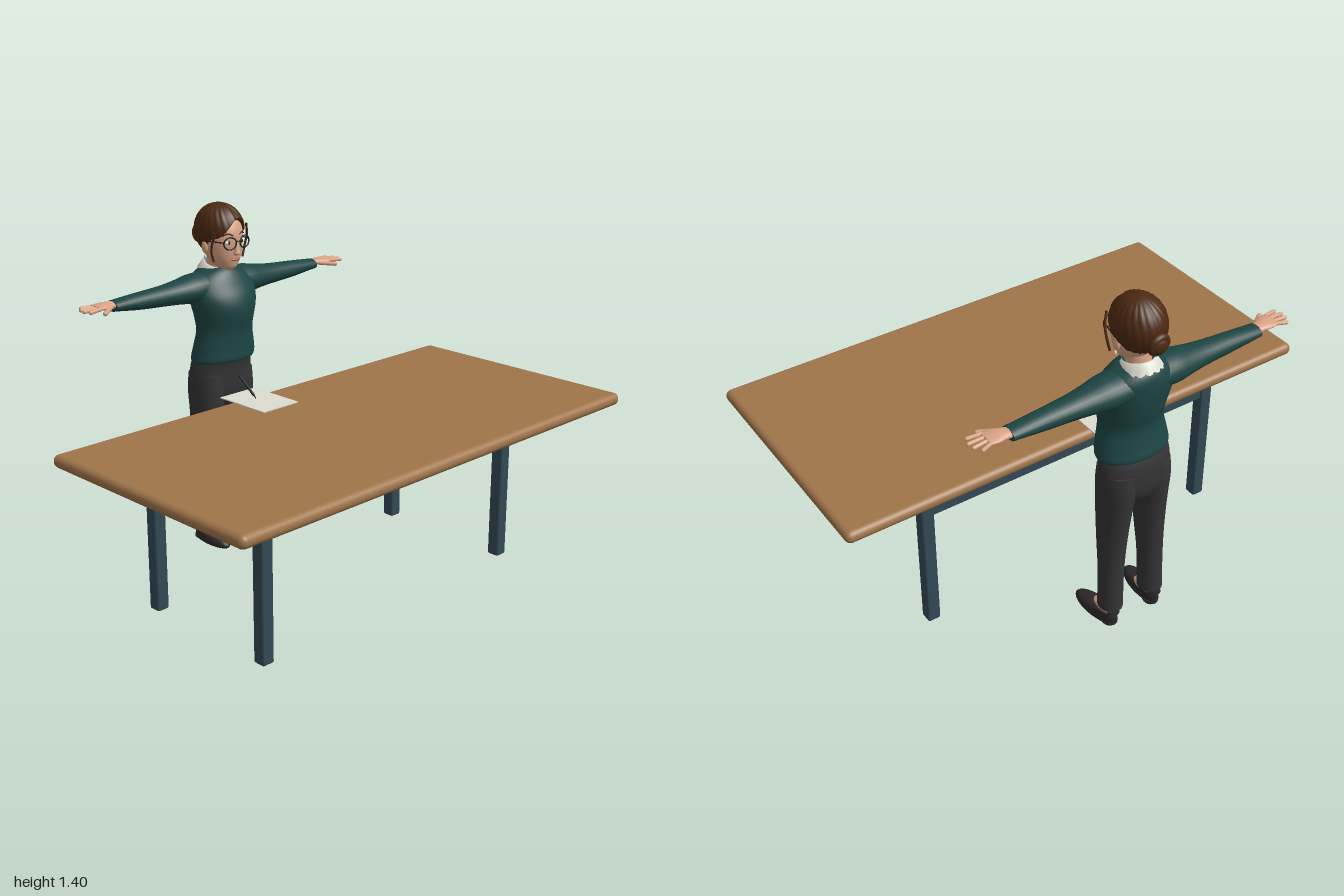
import * as THREE from 'three';
import { RoundedBoxGeometry } from 'three/addons/geometries/RoundedBoxGeometry.js';

const V = (x, y, z) => new THREE.Vector3(x, y, z);
const material = (name, color, side = THREE.FrontSide) =>
  Object.assign(new THREE.MeshStandardMaterial({ color, side }), { name });

// Smooth surface over closed rows of points, optionally with flat end caps
function skin(rows, capped = false) {
  const n = rows[0].length, pos = [], index = [];
  rows.forEach(row => row.forEach(p => pos.push(p.x, p.y, p.z)));
  for (let i = 0; i < rows.length - 1; i++) {
    for (let j = 0; j < n; j++) {
      const k = (j + 1) % n, a = i * n, b = a + n;
      index.push(a + j, a + k, b + k, a + j, b + k, b + j);
    }
  }
  if (capped) {
    [rows[0], rows[rows.length - 1]].forEach((row, end) => {
      const base = pos.length / 3, mid = V(0, 0, 0);
      row.forEach(p => { pos.push(p.x, p.y, p.z); mid.addScaledVector(p, 1 / n); });
      pos.push(mid.x, mid.y, mid.z);
      for (let j = 0; j < n; j++) {
        const k = (j + 1) % n;
        index.push(base + n, base + (end ? j : k), base + (end ? k : j));
      }
    });
  }
  const g = new THREE.BufferGeometry();
  g.setAttribute('position', new THREE.Float32BufferAttribute(pos, 3));
  g.setIndex(index);
  g.computeVertexNormals();
  return g;
}

// Catmull-Rom smoothing of ring parameters
function refine(rings, steps = 4) {
  const out = [], at = i => rings[Math.min(Math.max(i, 0), rings.length - 1)];
  for (let i = 0; i < rings.length - 1; i++) {
    for (let s = 0; s < steps; s++) {
      const t = s / steps;
      out.push(at(i).map((b, k) => {
        const a = at(i - 1)[k], c = at(i + 1)[k], d = at(i + 2)[k];
        return b + 0.5 * t * (c - a + t * (2 * a - 5 * b + 4 * c - d + t * (3 * (b - c) + d - a)));
      }));
    }
  }
  out.push(at(rings.length));
  return out;
}

const ring = (n, f) => Array.from({ length: n }, (_, j) => f(j / n * Math.PI * 2));

// Upright form from rings [y, back z, front z, half width, centre x]
const upright = (rings, n = 32) => skin(refine(rings).map(([y, zb, zf, hx, xc]) =>
  ring(n, a => V(xc + hx * Math.sin(a), y, (zb + zf) / 2 + (zf - zb) / 2 * Math.cos(a)))), true);

// Sideways form from rings [x, centre y, centre z, half height, half depth]
const sideways = (rings, n = 24) => skin(refine(rings).map(([x, yc, zc, ry, rz]) =>
  ring(n, a => V(x, yc + ry * Math.cos(a), zc + rz * Math.sin(a)))), true);

const ball = (rx, ry, rz, x, y, z) => new THREE.SphereGeometry(1, 20, 14).scale(rx, ry, rz).translate(x, y, z);

// Straight rod with rounded ends
function rod(a, b, r) {
  const dir = b.clone().sub(a), g = new THREE.CapsuleGeometry(r, dir.length(), 4, 10);
  g.applyQuaternion(new THREE.Quaternion().setFromUnitVectors(V(0, 1, 0), dir.clone().normalize()));
  const m = a.clone().lerp(b, 0.5);
  return g.translate(m.x, m.y, m.z);
}

const tube = (pts, r) => new THREE.TubeGeometry(
  new THREE.CatmullRomCurve3(pts.map(p => V(...p))), 16, r, 8);

function mirrored(g) {
  const m = g.clone().scale(-1, 1, 1), ix = m.index.array;
  for (let i = 0; i < ix.length; i += 3) [ix[i + 1], ix[i + 2]] = [ix[i + 2], ix[i + 1]];
  return m;
}

export function createModel() {
  const wood = material('wood', 0xa0754a), steel = material('paintedSteel', 0x334a56);
  const knit = material('greenKnit', 0x1d4543), cloth = material('charcoalCloth', 0x353436);
  const hair = material('brownHair', 0x4c2911, THREE.DoubleSide), flesh = material('skin', 0xd9a384);
  const cream = material('cream', 0xdcdccf, THREE.DoubleSide), leather = material('leather', 0x2c292b);
  const dark = material('black', 0x17201f), lip = material('lips', 0xb06a5c);

  const model = new THREE.Group();
  const group = name => {
    const g = new THREE.Group();
    g.name = name;
    model.add(g);
    return g;
  };
  const add = (parent, name, geo, mat) => {
    const m = new THREE.Mesh(geo, mat);
    m.name = name;
    parent.add(m);
  };
  const pair = (parent, name, geo, mat) => {
    add(parent, name + 'Left', geo, mat);
    add(parent, name + 'Right', mirrored(geo), mat);
  };

  // Table
  const table = group('table');
  add(table, 'tableTop', new RoundedBoxGeometry(2, 0.05, 1, 5, 0.0245).translate(0, 0.652, 0.19), wood);
  for (const z of [0.383, -0.195]) {
    for (const x of [-0.642, 0.642])
      add(table, 'tableLeg', new RoundedBoxGeometry(0.052, 0.632, 0.052, 2, 0.008).translate(x, 0.316, z), steel);
    add(table, 'tableRail', new THREE.BoxGeometry(1.24, 0.1, 0.035).translate(0, 0.56, z), steel);
  }

  // Paper and pen
  const desk = group('writingThings');
  add(desk, 'paper', new THREE.BoxGeometry(0.18, 0.004, 0.25).translate(-0.092, 0.683, -0.235), cream);
  add(desk, 'pen', rod(V(-0.093, 0.697, -0.264), V(-0.093, 0.755, -0.34), 0.005), dark);
  add(desk, 'penTip', rod(V(-0.093, 0.688, -0.253), V(-0.093, 0.697, -0.264), 0.0025), dark);

  // Sweater
  const body = group('woman');
  add(body, 'sweater', upright([
    [0.8, -0.648, -0.45, 0.145, 0], [0.84, -0.638, -0.45, 0.138, 0], [0.9, -0.63, -0.446, 0.126, 0],
    [0.96, -0.643, -0.432, 0.132, 0], [1.0, -0.65, -0.43, 0.142, 0], [1.04, -0.655, -0.44, 0.15, 0],
    [1.08, -0.657, -0.46, 0.146, 0], [1.11, -0.655, -0.475, 0.128, 0], [1.135, -0.645, -0.49, 0.095, 0],
    [1.15, -0.63, -0.505, 0.06, 0]], 40), knit);
  add(body, 'sweaterHem', upright([
    [0.772, -0.644, -0.462, 0.142, 0], [0.785, -0.648, -0.456, 0.147, 0], [0.806, -0.645, -0.455, 0.143, 0]], 40), knit);
  pair(body, 'sleeve', sideways([
    [0.07, 1.08, -0.57, 0.056, 0.075], [0.14, 1.075, -0.57, 0.058, 0.072], [0.2, 1.073, -0.57, 0.049, 0.061],
    [0.28, 1.071, -0.57, 0.041, 0.05], [0.4, 1.071, -0.571, 0.033, 0.042], [0.5, 1.073, -0.572, 0.023, 0.037],
    [0.522, 1.073, -0.572, 0.021, 0.036]]), knit);

  // Hands
  pair(body, 'hand', sideways([
    [0.5, 1.075, -0.572, 0.015, 0.024], [0.54, 1.08, -0.57, 0.014, 0.029],
    [0.575, 1.082, -0.565, 0.012, 0.039], [0.605, 1.082, -0.563, 0.008, 0.036]]), flesh);
  [[-0.592, -0.604, 0.638], [-0.574, -0.578, 0.656], [-0.554, -0.552, 0.66], [-0.534, -0.526, 0.65]].forEach(([z0, z1, x]) =>
    pair(body, 'finger', rod(V(0.6, 1.082, z0), V(x, 1.079, z1), 0.0075), flesh));
  pair(body, 'thumb', rod(V(0.545, 1.077, -0.545), V(0.6, 1.07, -0.506), 0.009), flesh);

  // Trousers
  add(body, 'trouserSeat', upright([
    [0.6, -0.64, -0.505, 0.105, 0], [0.64, -0.654, -0.489, 0.137, 0], [0.7, -0.657, -0.483, 0.145, 0],
    [0.75, -0.654, -0.478, 0.142, 0], [0.79, -0.64, -0.47, 0.136, 0]]), cloth);
  pair(body, 'trouserLeg', upright([
    [0.082, -0.637, -0.534, 0.047, 0.093], [0.25, -0.631, -0.526, 0.047, 0.09], [0.4, -0.634, -0.506, 0.053, 0.085],
    [0.55, -0.646, -0.489, 0.061, 0.079], [0.65, -0.654, -0.485, 0.069, 0.075], [0.72, -0.65, -0.487, 0.066, 0.073]]), cloth);

  // Feet and shoes
  pair(body, 'ankle', upright([
    [0.025, -0.612, -0.485, 0.029, 0.099], [0.05, -0.614, -0.5, 0.03, 0.097],
    [0.075, -0.612, -0.545, 0.029, 0.094], [0.12, -0.61, -0.556, 0.027, 0.092]], 20), flesh);
  const toeOut = g => g.translate(-0.1, 0, 0.57).rotateY(0.09).translate(0.1, 0, -0.57);
  pair(body, 'shoe', toeOut(upright([
    [0.006, -0.624, -0.412, 0.039, 0.102], [0.018, -0.625, -0.41, 0.041, 0.102], [0.034, -0.626, -0.428, 0.038, 0.102],
    [0.046, -0.626, -0.475, 0.035, 0.101], [0.053, -0.626, -0.525, 0.033, 0.1]])), leather);
  pair(body, 'heel', toeOut(upright([
    [0, -0.624, -0.56, 0.03, 0.1], [0.012, -0.625, -0.55, 0.033, 0.1]], 20)), leather);
  pair(body, 'shoeBack', toeOut(upright([
    [0.045, -0.627, -0.595, 0.03, 0.1], [0.07, -0.626, -0.6, 0.026, 0.1]], 20)), leather);

  // Neck and scalloped collar
  add(body, 'neck', upright([
    [1.08, -0.63, -0.52, 0.056, 0], [1.13, -0.617, -0.522, 0.046, 0], [1.2, -0.605, -0.51, 0.045, 0]]), flesh);
  add(body, 'collar', skin([[0.08, 1.122, 0.028], [0.074, 1.136, 0.025], [0.062, 1.158, 0.019], [0.053, 1.161, 0.015]]
    .map(([r, y, tilt], i) => ring(96, a => {
      const lace = i ? 0 : 0.006 * Math.abs(Math.sin(a * 8)), notch = 0.03 * i / 3 * Math.exp(-a * a * 12);
      const notch2 = 0.03 * i / 3 * Math.exp(-((a - Math.PI * 2) ** 2) * 12);
      return V((r + lace) * Math.sin(a), y - tilt * Math.cos(a) - lace - notch - notch2, -0.566 + (r + lace) * 1.06 * Math.cos(a));
    }))), cream);

  // Head and face
  const head = group('head');
  add(head, 'face', upright([
    [1.143, -0.535, -0.488, 0.018, 0], [1.154, -0.56, -0.474, 0.037, 0], [1.175, -0.59, -0.466, 0.056, 0],
    [1.2, -0.61, -0.46, 0.068, 0], [1.24, -0.63, -0.455, 0.078, 0], [1.28, -0.64, -0.453, 0.081, 0],
    [1.31, -0.64, -0.459, 0.079, 0], [1.34, -0.63, -0.475, 0.07, 0], [1.37, -0.6, -0.51, 0.04, 0]], 40), flesh);
  add(head, 'nose', upright([
    [1.206, -0.47, -0.45, 0.008, 0], [1.213, -0.47, -0.438, 0.014, 0], [1.23, -0.47, -0.442, 0.01, 0],
    [1.265, -0.47, -0.452, 0.007, 0]], 16), flesh);
  add(head, 'lips', ball(0.023, 0.006, 0.008, 0, 1.189, -0.461), lip);
  pair(head, 'ear', ball(0.01, 0.026, 0.015, 0.081, 1.238, -0.55), flesh);
  pair(head, 'earring', ball(0.005, 0.009, 0.005, 0.083, 1.2, -0.547), cream);
  pair(head, 'eye', ball(0.015, 0.008, 0.006, 0.034, 1.258, -0.465), cream);
  pair(head, 'iris', ball(0.0065, 0.0075, 0.004, 0.033, 1.258, -0.462), dark);
  pair(head, 'eyebrow', tube([[0.015, 1.285, -0.456], [0.035, 1.293, -0.463], [0.056, 1.285, -0.476]], 0.003), hair);

  // Glasses
  pair(head, 'glassesRim', new THREE.TorusGeometry(0.026, 0.0028, 8, 28).scale(1.08, 0.92, 1)
    .rotateY(0.2).translate(0.037, 1.257, -0.449), dark);
  add(head, 'glassesBridge', tube([[-0.011, 1.26, -0.444], [0, 1.264, -0.441], [0.011, 1.26, -0.444]], 0.0025), dark);
  pair(head, 'glassesArm', rod(V(0.066, 1.263, -0.456), V(0.086, 1.262, -0.55), 0.0025), dark);

  // Hair swept back from a side parting
  const step = THREE.MathUtils.smoothstep;
  const hairRows = [];
  for (let i = 0; i <= 28; i++) {
    const v = i ? 1 - (i - 1) / 27 : 1;
    hairRows.push(ring(96, a => {
      const az = a > Math.PI ? a - Math.PI * 2 : a, d = Math.abs(az - 0.2 * Math.cos(az / 2));
      const p = v * (1.08 + 0.7 * step(d, 0.1, 1.15) + 0.65 * step(d, 1.15, 2));
      const lock = 0.013 * Math.sin(22 * az + 5 * Math.cos(p)) * step(p, 0.25, 0.8);
      const s = (i ? 1 : 0.86) * (1 + lock - 0.03 * Math.exp(-d * d * 90));
      return V(0.093 * s * Math.sin(p) * Math.sin(a), 1.296 + 0.106 * s * Math.cos(p), -0.556 + 0.109 * s * Math.sin(p) * Math.cos(a));
    }));
  }
  add(head, 'hair', skin(hairRows), hair);
  pair(head, 'looseLock', tube([[0.07, 1.32, -0.475], [0.086, 1.275, -0.49], [0.086, 1.225, -0.505], [0.074, 1.182, -0.505]], 0.0045), hair);

  // Coiled bun
  add(head, 'bun', ball(0.042, 0.042, 0.034, 0, 1.267, -0.657), hair);
  add(head, 'bunCoil', new THREE.TorusGeometry(0.029, 0.015, 10, 28).rotateX(-0.15).translate(0, 1.267, -0.666), hair);
  return model;
}
